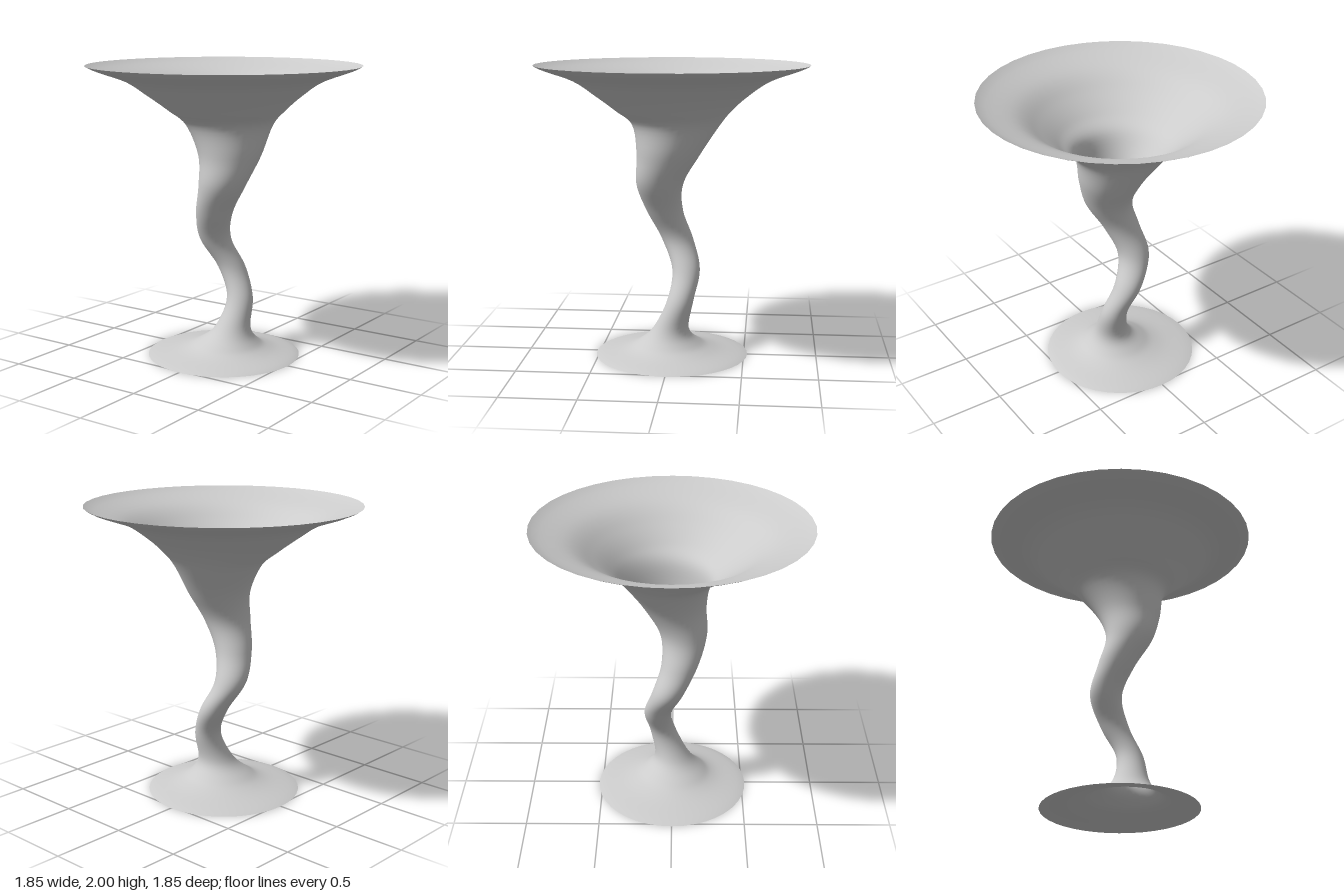
import * as THREE from 'three';
import { mergeVertices } from 'three/addons/utils/BufferGeometryUtils.js';

// Circular cross-sections from floor to rim: [height, radius, centre x, centre z]
const SECTIONS = [
  [0, 0.525, 0, 0],
  [0.05, 0.32, 0.03, 0],
  [0.1, 0.215, 0.045, 0.01],
  [0.2, 0.123, 0.075, 0],
  [0.4, 0.09, 0.09, -0.065],
  [0.6, 0.095, 0, -0.098],
  [0.8, 0.108, -0.09, -0.03],
  [1.0, 0.125, -0.043, 0.052],
  [1.2, 0.159, 0.04, 0.079],
  [1.4, 0.212, 0.062, 0.02],
  [1.6, 0.295, 0.025, -0.03],
  [1.7, 0.395, 0.016, -0.012],
  [1.8, 0.52, 0.008, 0],
  [1.9, 0.67, 0.003, 0],
  [2, 0.925, 0, 0],
];

export function createModel() {
  const group = new THREE.Group();
  group.name = 'twistedTable';

  // Spiralling centre line, and the matching radius profile
  const centre = new THREE.CatmullRomCurve3(
    SECTIONS.map(([y, , x, z]) => new THREE.Vector3(x, y, z)), false, 'catmullrom');
  const radius = new THREE.SplineCurve(SECTIONS.map(([y, r]) => new THREE.Vector2(r, y)));

  // Open tube of unit radius, each ring moved onto its cross-section
  const tube = new THREE.CylinderGeometry(1, 1, 1, 40, 84, true);
  const pos = tube.attributes.position;
  for (let i = 0; i < pos.count; i++) {
    const t = THREE.MathUtils.clamp(pos.getY(i) + 0.5, 0, 1);
    const c = centre.getPoint(t);
    const r = radius.getPoint(t).x;
    pos.setXYZ(i, c.x + r * pos.getX(i), c.y, c.z + r * pos.getZ(i));
  }

  // Weld the seam so the shading is smooth all round
  tube.deleteAttribute('uv');
  tube.deleteAttribute('normal');
  const geometry = mergeVertices(tube, 1e-5);
  geometry.computeVertexNormals();

  const shell = new THREE.Mesh(geometry,
    new THREE.MeshStandardMaterial({ color: 0xcccccc, side: THREE.DoubleSide }));
  shell.name = 'flaredSpiralShell';
  group.add(shell);
  return group;
}
